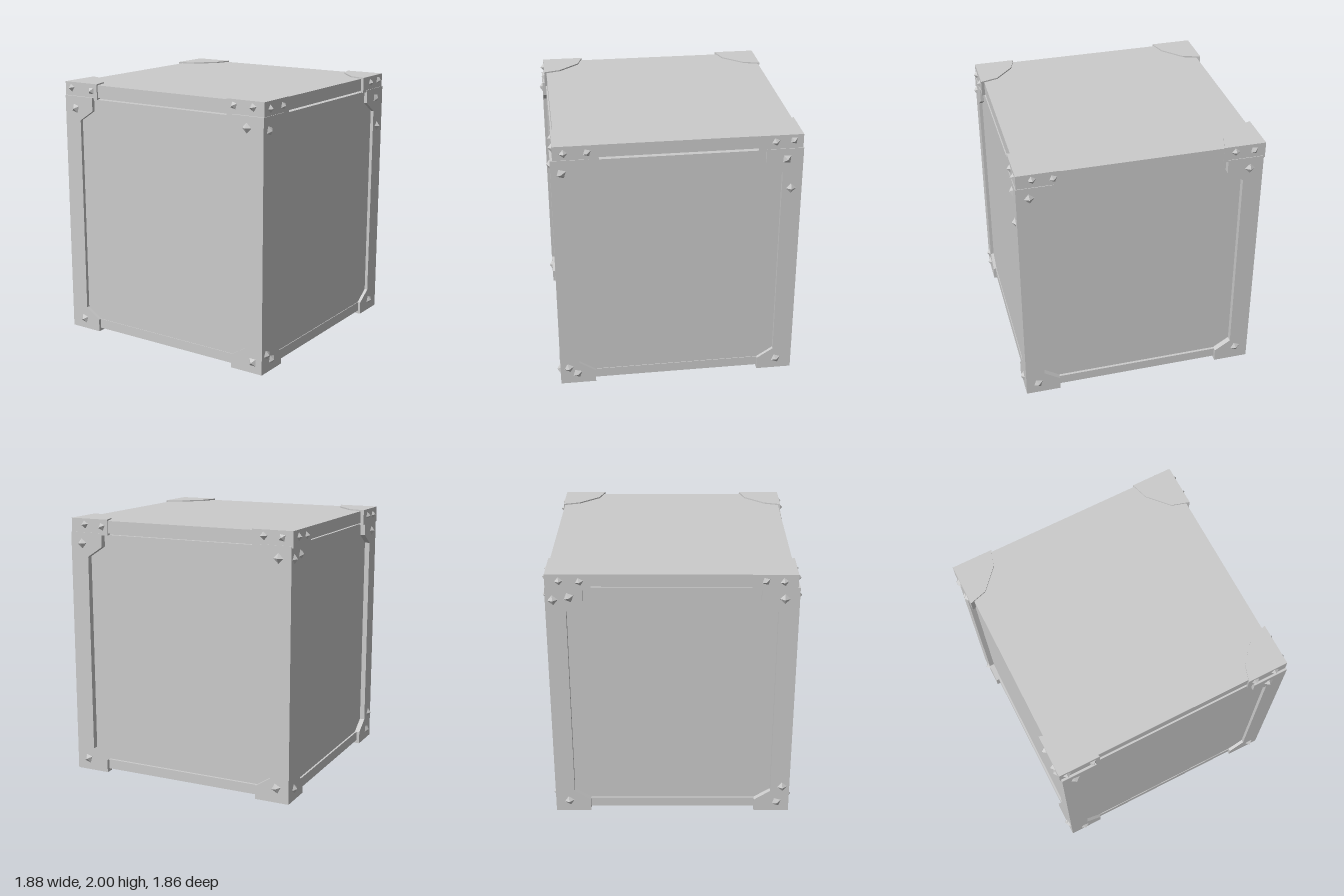
import * as THREE from 'three';

const mat = new THREE.MeshStandardMaterial({ color: 0xcccccc, flatShading: true });

function add(parent, name, geo) {
  const mesh = new THREE.Mesh(geo, mat);
  mesh.name = name;
  parent.add(mesh);
  return mesh;
}

// Box given by its minimum and maximum corners
function block(parent, name, a, b) {
  const geo = new THREE.BoxGeometry(b[0] - a[0], b[1] - a[1], b[2] - a[2]);
  geo.translate((a[0] + b[0]) / 2, (a[1] + b[1]) / 2, (a[2] + b[2]) / 2);
  return add(parent, name, geo);
}

function extrude(points, depth) {
  const shape = new THREE.Shape(points.map(([x, y]) => new THREE.Vector2(x, y)));
  return new THREE.ExtrudeGeometry(shape, { depth, bevelEnabled: false });
}

// Upright strip that flares into a wide plate at both ends
function bracketWing(outer, side) {
  const foot = outer - 0.27, strip = outer - 0.147;
  return extrude([
    [outer, 0], [foot, 0], [foot, 0.1], [strip, 0.18],
    [strip, 1.71], [foot, 1.79], [foot, 1.895], [outer, 1.895],
  ].map(([u, v]) => [u * side, v]), 0.06);
}

const OX = 0.91, OZ = 0.905, T = 0.06;

function cornerBracket(sx, sz) {
  const g = new THREE.Group();
  g.name = 'cornerBracket';
  const zWing = bracketWing(OX, sx);
  zWing.translate(0, 0, sz > 0 ? OZ - T : -OZ);
  add(g, 'bracketFaceZ', zWing);
  const xWing = bracketWing(OZ, sz);
  xWing.rotateY(-Math.PI / 2);
  xWing.translate(sx > 0 ? OX : -OX + T, 0, 0);
  add(g, 'bracketFaceX', xWing);
  return g;
}

// Rounded-off plate that covers a corner of the lid
function lidCap(sx, sz) {
  const x = sx > 0 ? 0.905 : 0.92, z = sz > 0 ? 0.888 : 0.9;
  const geo = extrude([
    [x, z], [x - 0.315, z], [x - 0.275, z - 0.13], [x - 0.135, z - 0.285], [x, z - 0.325],
  ].map(([u, v]) => [u * sx, -v * sz]), 0.12);
  geo.rotateX(-Math.PI / 2);
  geo.translate(0, 1.88, 0);
  return geo;
}

// Studs per face as [u, y, turn]; u is x on the front and back, z on the sides
const studs = {
  front: [
    [-0.86, 1.955, 0.2], [-0.66, 1.945, 0.8], [0.65, 1.955, 0.5], [0.81, 1.955, 0.25],
    [-0.81, 1.8, 0.5], [0.77, 1.81, 0], [-0.79, 0.08, 0.5], [0.83, 0.085, 0.78],
  ],
  back: [
    [0.79, 1.955, 0.2], [0.64, 1.945, 0.4], [-0.695, 1.955, 0.1], [-0.835, 1.95, 0.6],
    [0.815, 1.81, 0.1], [-0.81, 1.805, 0], [0.815, 0.09, 0.5], [-0.81, 0.11, 0.3],
  ],
  left: [
    [0.81, 1.945, 0.1], [0.645, 1.945, 0.5], [-0.7, 1.95, 0.3], [-0.83, 1.955, 0.65],
    [0.83, 1.795, 0.5], [-0.785, 1.815, 0.7], [-0.825, 1.58, 0],
    [0.84, 0.14, 0.3], [0.775, 0.085, 0.5], [-0.785, 0.085, 0.4],
  ],
  right: [
    [-0.8, 1.95, 0.1], [-0.655, 1.945, 0.3], [0.66, 1.95, 0.5], [0.79, 1.945, 0.2],
    [-0.85, 1.8, 0.1], [-0.735, 1.82, 0.4], [0.8, 1.81, 0],
    [-0.8, 0.09, 0.2], [0.81, 0.08, 0.5], [0.85, 0.22, 0.1],
  ],
};

// Facing angle, then surface distance on the bracket and on the lid cap
const faces = {
  front: [0, OZ, 0.888], back: [Math.PI, OZ, 0.9],
  left: [Math.PI / 2, OX, 0.905], right: [-Math.PI / 2, OX, 0.92],
};

function addStuds(parent, side) {
  const [angle, bracketAt, capAt] = faces[side];
  for (const [u, y, turn] of studs[side]) {
    const onCap = y > 1.89, r = onCap ? 0.037 : 0.046;
    const geo = new THREE.ConeGeometry(r, 0.03, 4);
    geo.rotateX(Math.PI / 2);
    geo.rotateZ(turn);
    const flip = side === 'back' || side === 'left' ? -1 : 1;
    geo.translate(u * flip, y, (onCap ? capAt : bracketAt) + 0.01);
    geo.rotateY(angle);
    add(parent, 'stud', geo);
  }
}

export function createModel() {
  const root = new THREE.Group();
  root.name = 'crate';

  // Walls, base and lid
  block(root, 'body', [-0.87, 0.03, -0.86], [0.885, 1.88, 0.88]);
  block(root, 'base', [-0.885, 0.025, -0.88], [0.89, 0.1, 0.885]);
  block(root, 'lidCore', [-0.84, 1.87, -0.83], [0.84, 1.91, 0.83]);
  block(root, 'lid', [-0.89, 1.895, -0.89], [0.88, 1.99, 0.87]);

  // Corner fittings
  for (const sx of [-1, 1]) for (const sz of [-1, 1]) {
    root.add(cornerBracket(sx, sz));
    add(root, 'lidCap', lidCap(sx, sz));
  }

  // Pyramid studs
  const studGroup = new THREE.Group();
  studGroup.name = 'studs';
  for (const side of Object.keys(studs)) addStuds(studGroup, side);
  root.add(studGroup);
  return root;
}
